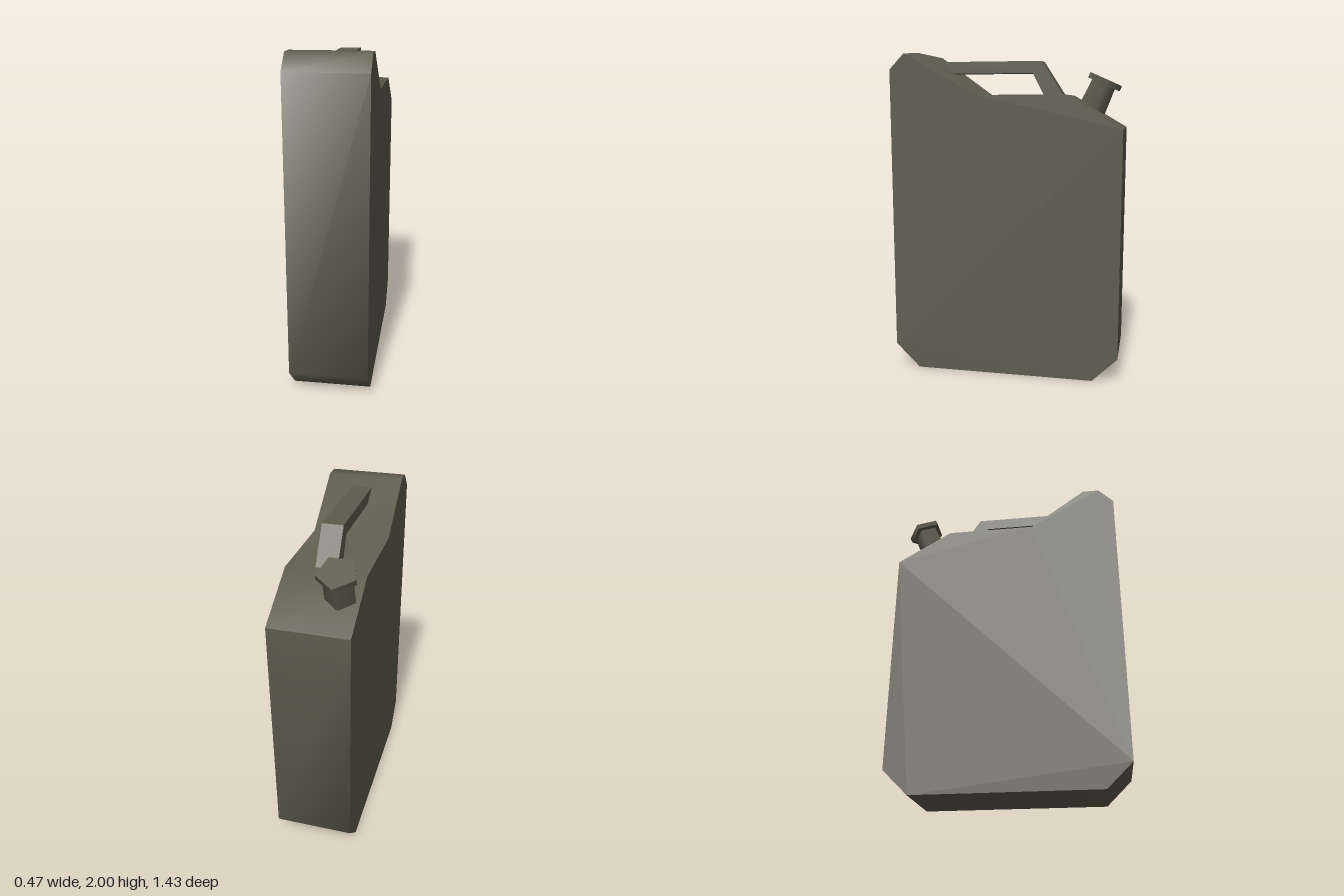
import * as THREE from 'three';
import { toCreasedNormals } from 'three/addons/utils/BufferGeometryUtils.js';

// Extrudes a side outline of [z, y] points across x, from x0 to x1.
function sideExtrude(points, x0, x1, crease) {
  const shape = new THREE.Shape(points.map(([z, y]) => new THREE.Vector2(z, y)));
  const geometry = new THREE.ExtrudeGeometry(shape, { depth: x1 - x0, bevelEnabled: false });
  geometry.rotateY(-Math.PI / 2);
  geometry.translate(x1, 0, 0);
  return toCreasedNormals(geometry, crease);
}

export function createModel() {
  const olive = new THREE.MeshStandardMaterial({ color: 0x5d5c4d });
  olive.name = 'olive';
  const model = new THREE.Group();
  model.name = 'jerrycan';

  const add = (name, geometry, parent = model) => {
    const mesh = new THREE.Mesh(geometry, olive);
    mesh.name = name;
    parent.add(mesh);
    return mesh;
  };

  // Tank: flat sides, softly shaded rim
  add('tank', sideExtrude([
    [-0.56, 0], [0.56, 0], [0.714, 0.15], [0.714, 1.905], [0.62, 2], [0.52, 2],
    [0.17, 1.75], [-0.375, 1.75], [-0.714, 1.55], [-0.714, 0.15],
  ], -0.233, 0.233, 1.0));

  // Handle: bar running from the front hump, bending down to the shoulder
  add('handle', sideExtrude([
    [0.48, 1.955], [-0.205, 1.955], [-0.345, 1.74], [-0.225, 1.74],
    [-0.15, 1.883], [0.37, 1.883],
  ], -0.056, 0.069, 0.3));

  // Spout: five-sided neck and cap, tilted backwards, one corner to the back
  const spout = new THREE.Group();
  spout.name = 'spout';
  spout.position.set(-0.123, 1.853, -0.577);
  spout.rotation.x = -0.42;
  model.add(spout);
  const pentagon = (top, bottom, height) =>
    new THREE.CylinderGeometry(top, bottom, height, 5, 1, false, Math.PI);
  add('neck', pentagon(0.083, 0.095, 0.24), spout).position.y = -0.14;
  add('cap', pentagon(0.116, 0.116, 0.035), spout).position.y = -0.0175;

  return model;
}
